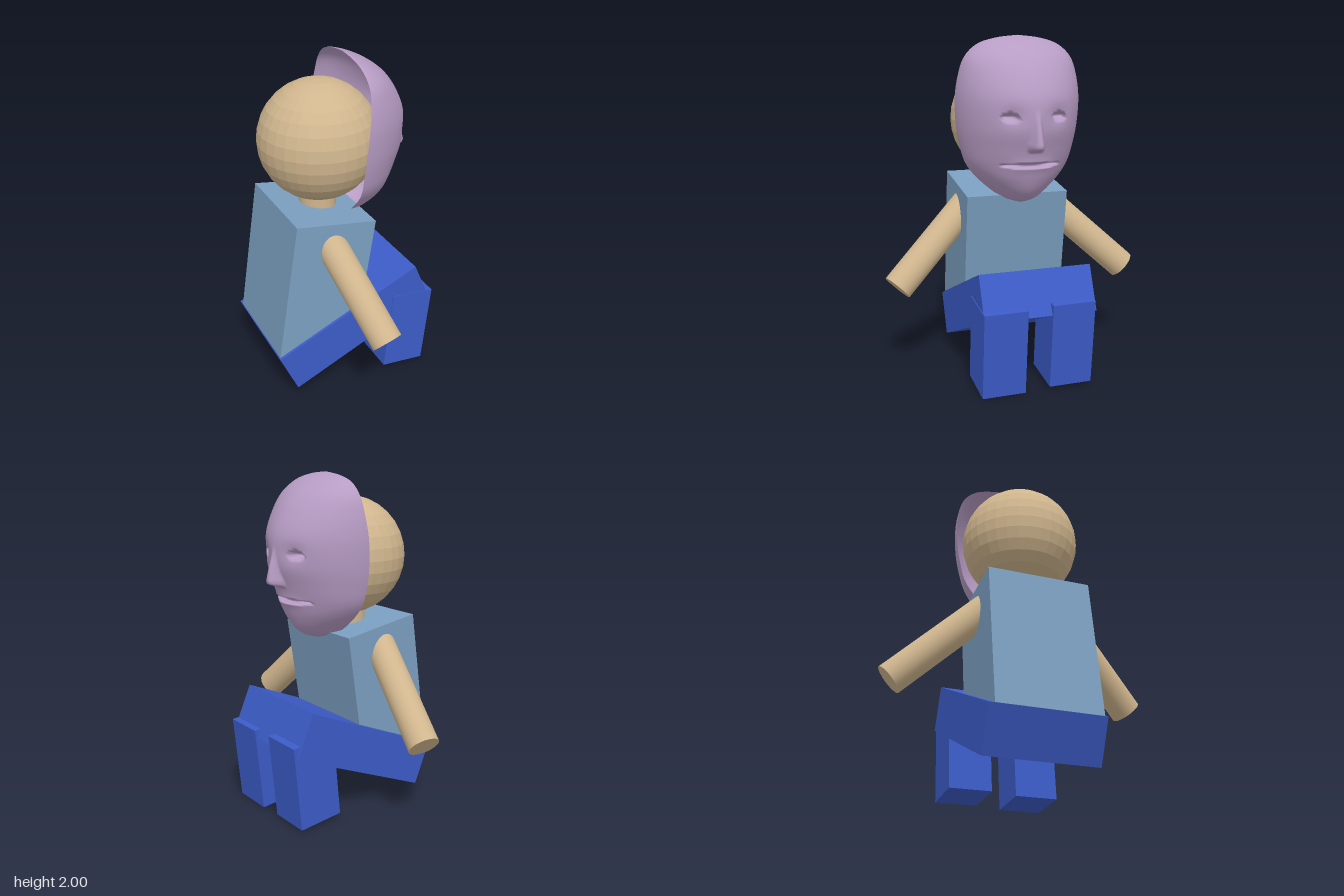
import * as THREE from 'three';

const mat = (name, color, extra = {}) => {
  const m = new THREE.MeshStandardMaterial({ color, ...extra });
  m.name = name;
  return m;
};

// Face mask: half-oval sections stacked from crown to chin, [y, half width, front x, back x]
const MASK_ROWS = [
  [2.0, 0, 0.05, 0.05], [1.985, 0.13, 0.1, 0.05], [1.95, 0.24, 0.18, 0.05],
  [1.88, 0.315, 0.275, 0.052], [1.78, 0.35, 0.35, 0.045], [1.65, 0.367, 0.405, 0.03],
  [1.5, 0.36, 0.405, 0.02], [1.38, 0.34, 0.37, 0.017], [1.28, 0.31, 0.335, 0.02],
  [1.2, 0.255, 0.31, 0.025], [1.12, 0.17, 0.265, 0.035], [1.07, 0.1, 0.2, 0.06],
  [1.04, 0, 0.11, 0.11],
];

// Relief added to the front of the mask: nose, eye sockets, eye slits and mouth slit
function relief(y, z) {
  const step = THREE.MathUtils.smoothstep;
  const a = Math.abs(z);
  const down = THREE.MathUtils.clamp((1.6 - y) / 0.19, 0, 1);
  const noseWidth = 0.022 + 0.03 * down * down;
  const nose = 0.075 * Math.pow(down, 1.3) * step(y, 1.365, 1.395) * (1 - step(a, noseWidth * 0.25, noseWidth));
  const socket = 0.014 * Math.exp(-(((a - 0.13) / 0.06) ** 2) - ((y - 1.57) / 0.05) ** 2);
  const lidY = y - 1.565 + 4 * (a - 0.14) ** 2;
  const eye = 0.05 * (1 - step(Math.hypot((a - 0.14) / 0.046, lidY / 0.02), 0.75, 1.1));
  const lips = 0.01 * Math.exp(-((a / 0.13) ** 4) - ((y - 1.29) / 0.04) ** 2);
  const mouth = 0.05 * (1 - step(Math.hypot(a / 0.175, (y - 1.29) / 0.014), 0.7, 1.1));
  return nose - socket - eye + lips - mouth;
}

function maskGeometry(rows = 150, cols = 112) {
  const outline = new THREE.SplineCurve(MASK_ROWS.map(r => new THREE.Vector2(r[0], r[1])));
  const depth = new THREE.SplineCurve(MASK_ROWS.map(r => new THREE.Vector2(r[2], r[3])));
  const positions = [], index = [];
  for (let i = 0; i <= rows; i++) {
    const { x: y, y: w } = outline.getPoint(i / rows);
    const { x: front, y: back } = depth.getPoint(i / rows);
    for (let j = 0; j <= cols; j++) {
      const t = (j / cols - 0.5) * Math.PI;
      const s = Math.sin(t), c = Math.max(0, Math.cos(t));
      const z = Math.sign(s) * Math.pow(Math.abs(s), 1.1) * Math.max(0, w);
      const x = back + (front - back) * Math.pow(c, 1.1);
      positions.push(x + relief(y, z), y, z + 0.018);
      if (i < rows && j < cols) {
        const p = i * (cols + 1) + j, q = p + cols + 1;
        index.push(p, p + 1, q, p + 1, q + 1, q);
      }
    }
  }
  const g = new THREE.BufferGeometry();
  g.setAttribute('position', new THREE.Float32BufferAttribute(positions, 3));
  g.setIndex(index);
  g.computeVertexNormals();
  return g;
}

export function createModel() {
  const model = new THREE.Group();
  model.name = 'seatedFigure';
  const skin = mat('tan skin', 0xd0b68e);
  const skinFaceted = mat('tan skin', 0xd0b68e, { flatShading: true });
  const shirt = mat('light blue shirt', 0x7b9fc0);
  const trousers = mat('blue trousers', 0x3c5cc8);
  const maskColor = mat('lavender mask', 0xb79cc4, { side: THREE.DoubleSide });

  const add = (name, geometry, material, x = 0, y = 0, z = 0) => {
    const mesh = new THREE.Mesh(geometry, material);
    mesh.name = name;
    mesh.position.set(x, y, z);
    model.add(mesh);
    return mesh;
  };
  // Box leaning in the side plane by the given angle
  const leaningBox = (name, size, pos, angle, material) => {
    add(name, new THREE.BoxGeometry(...size), material, ...pos).rotation.z = angle;
  };
  // Cylinder between two points
  const limb = (name, from, to, radius) => {
    const a = new THREE.Vector3(...from), b = new THREE.Vector3(...to);
    const dir = b.clone().sub(a);
    const mesh = add(name, new THREE.CylinderGeometry(radius, radius, dir.length(), 32), skin);
    mesh.position.copy(a).add(b).multiplyScalar(0.5);
    mesh.quaternion.setFromUnitVectors(new THREE.Vector3(0, 1, 0), dir.normalize());
  };

  // Head and neck
  add('head', new THREE.SphereGeometry(0.35, 32, 16), skinFaceted, -0.1, 1.515, 0.02);
  add('neck', new THREE.CylinderGeometry(0.11, 0.11, 0.3, 32), skin, -0.11, 1.15, 0.02);
  add('faceMask', maskGeometry(), maskColor);

  // Body and lap
  leaningBox('torso', [0.495, 0.85, 0.615], [-0.2, 0.705, 0.031], -0.15, shirt);
  leaningBox('thighs', [0.98, 0.27, 0.666], [-0.01, 0.39, 0.022], 0.409, trousers);

  // Lower legs
  leaningBox('shinRight', [0.276, 0.51, 0.255], [0.348, 0.27, 0.232], -0.098, trousers);
  leaningBox('shinLeft', [0.276, 0.51, 0.255], [0.348, 0.284, -0.17], -0.098, trousers);

  // Arms, spread outwards from the shoulders
  limb('armRight', [-0.17, 1.03, 0.24], [-0.025, 0.545, 0.735], 0.09);
  limb('armLeft', [-0.175, 1.03, -0.19], [-0.06, 0.54, -0.73], 0.09);

  return model;
}
